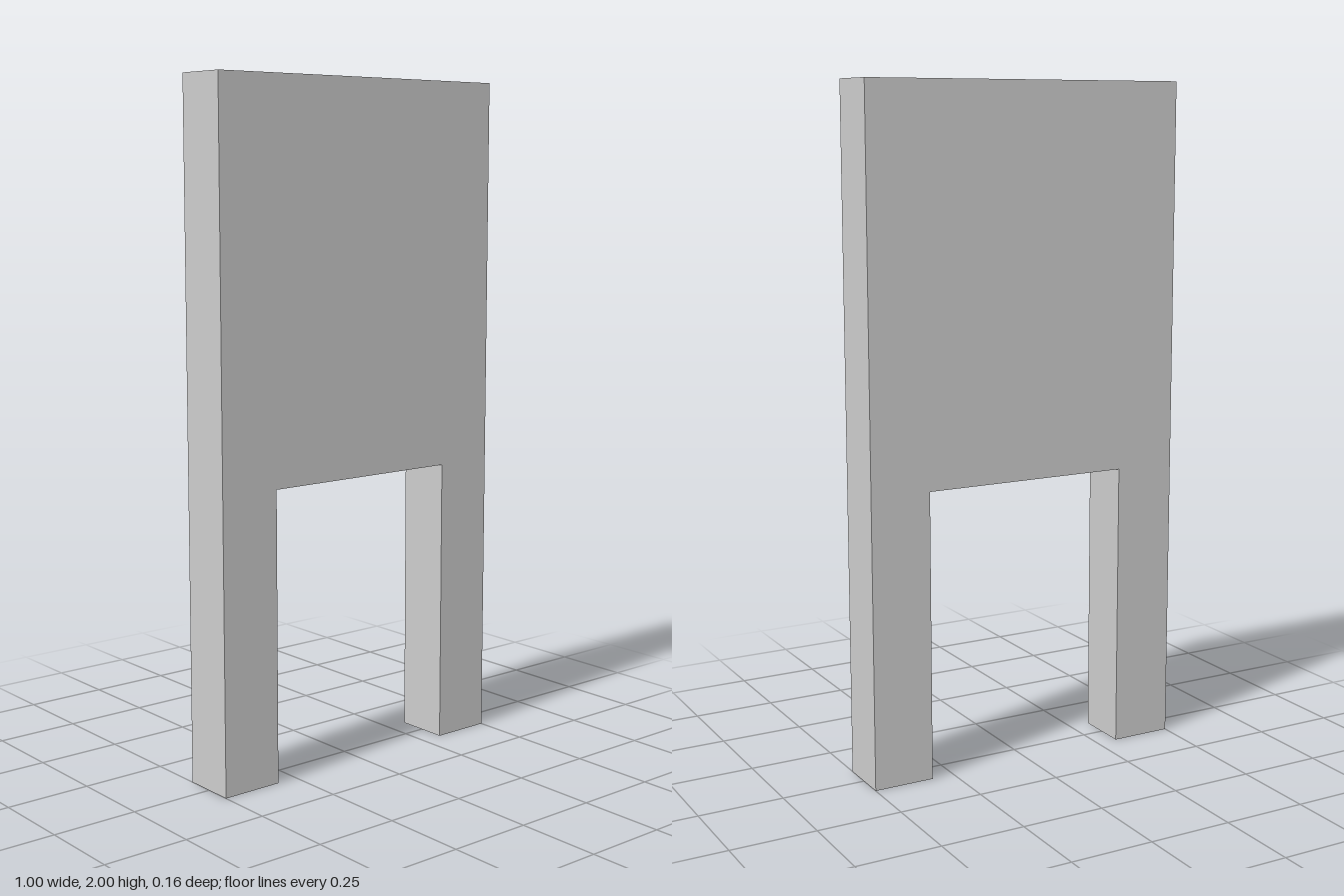
import * as THREE from 'three';

export function createModel() {
  const width = 1, height = 2, depth = 0.164;
  const openLeft = -0.315, openRight = 0.318, openHeight = 0.857;

  // Upright slab outline with a doorway cut up from the floor
  const outline = new THREE.Shape([
    [-width / 2, 0], [openLeft, 0], [openLeft, openHeight], [openRight, openHeight],
    [openRight, 0], [width / 2, 0], [width / 2, height], [-width / 2, height],
  ].map(([x, y]) => new THREE.Vector2(x, y)));

  const geometry = new THREE.ExtrudeGeometry(outline, { depth, bevelEnabled: false });
  geometry.translate(0, 0, -depth / 2);

  const wall = new THREE.Mesh(
    geometry,
    new THREE.MeshStandardMaterial({ color: 0xcccccc, flatShading: true }),
  );
  wall.name = 'wallWithDoorway';

  const model = new THREE.Group();
  model.name = 'doorwayWall';
  model.add(wall);
  return model;
}
